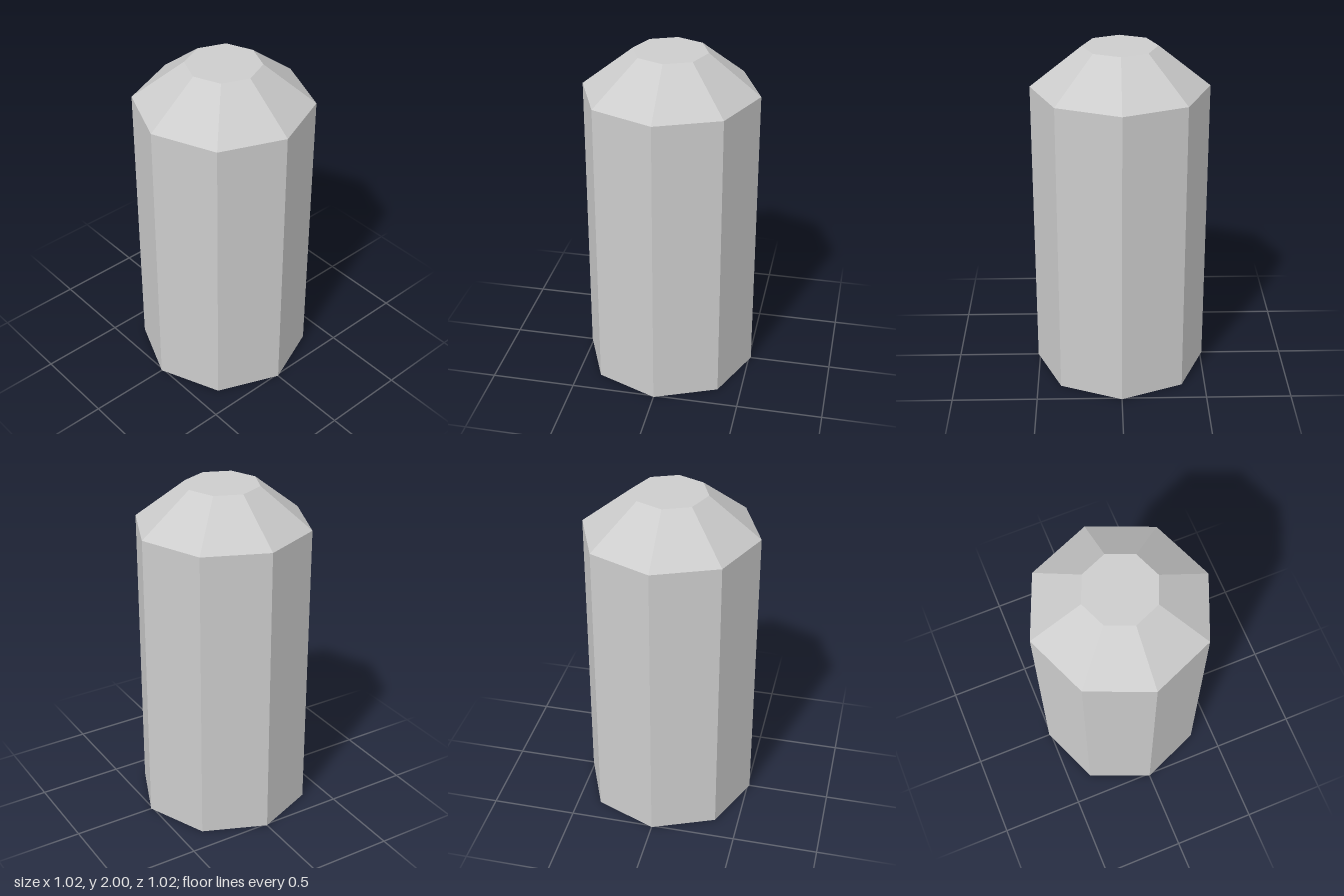
import * as THREE from 'three';

const SIDES = 8;
const BODY_RADIUS = 0.512;
const TOP_RADIUS = 0.215;
const SHOULDER_Y = 1.765;
const HEIGHT = 2;

export function createModel() {
  const group = new THREE.Group();
  group.name = 'octagonalPost';
  const grey = new THREE.MeshStandardMaterial({ color: 0xcccccc, flatShading: true });
  grey.name = 'light grey';

  function add(name, geometry, y) {
    const mesh = new THREE.Mesh(geometry, grey);
    mesh.name = name;
    mesh.position.y = y;
    group.add(mesh);
    return mesh;
  }

  // Straight eight-sided walls
  add('body', new THREE.CylinderGeometry(BODY_RADIUS, BODY_RADIUS, SHOULDER_Y, SIDES, 1, true), SHOULDER_Y / 2);

  // Sloping shoulder
  add('shoulder', new THREE.CylinderGeometry(TOP_RADIUS, BODY_RADIUS, HEIGHT - SHOULDER_Y, SIDES, 1, true), (HEIGHT + SHOULDER_Y) / 2);

  // Flat end faces
  add('topFace', new THREE.CircleGeometry(TOP_RADIUS, SIDES), HEIGHT).rotation.x = -Math.PI / 2;
  add('bottomFace', new THREE.CircleGeometry(BODY_RADIUS, SIDES), 0).rotation.x = Math.PI / 2;

  return group;
}
